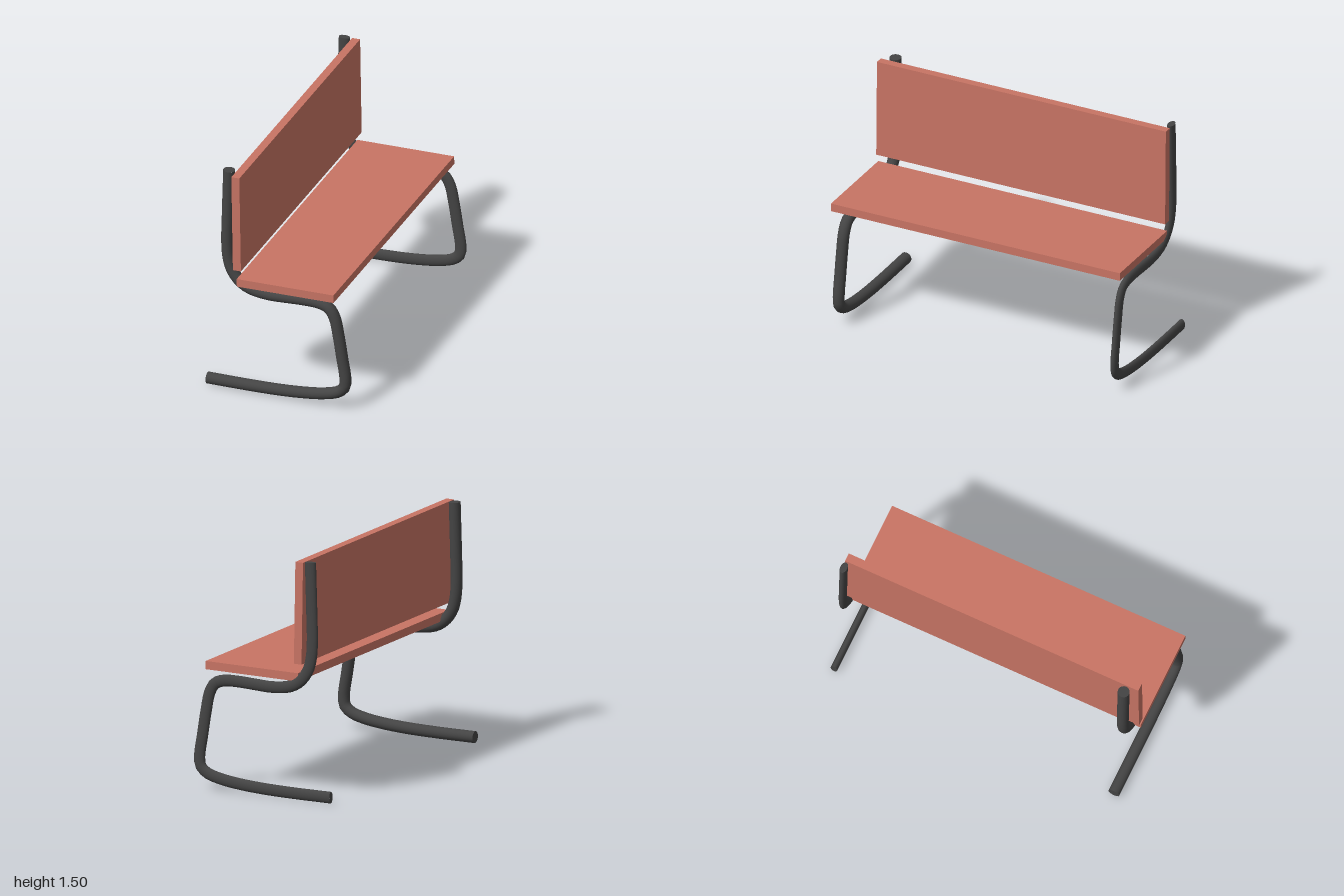
import * as THREE from 'three';

const RADIUS = 0.037;

// Centre line of the bent tube, from the back's top to the foot's end
const PATH = [
  [-0.336, 1.505], [-0.345, 1.2], [-0.349, 1.0], [-0.341, 0.9], [-0.32, 0.825],
  [-0.27, 0.755], [-0.2, 0.712], [-0.08, 0.693], [0.05, 0.697], [0.16, 0.702],
  [0.26, 0.699], [0.325, 0.675], [0.362, 0.615], [0.387, 0.5], [0.411, 0.35],
  [0.433, 0.2], [0.424, 0.143], [0.38, 0.105], [0.28, 0.076], [0.15, 0.058],
  [0, 0.047], [-0.2, 0.041], [-0.478, 0.039],
];

function createFrame(name, material) {
  const curve = new THREE.CatmullRomCurve3(PATH.map(([x, y]) => new THREE.Vector3(x, y, 0)));
  const frame = new THREE.Group();
  frame.name = name;
  const tube = new THREE.Mesh(new THREE.TubeGeometry(curve, 90, RADIUS, 20), material);
  tube.name = 'bentTube';
  frame.add(tube);
  // Flat discs closing both ends
  for (const [t, sign, capName] of [[0, -1, 'topCap'], [1, 1, 'footCap']]) {
    const cap = new THREE.Mesh(new THREE.CircleGeometry(RADIUS, 20), material);
    cap.name = capName;
    cap.position.copy(curve.getPoint(t));
    const outward = curve.getTangent(t).multiplyScalar(sign);
    cap.quaternion.setFromUnitVectors(new THREE.Vector3(0, 0, 1), outward);
    frame.add(cap);
  }
  return frame;
}

export function createModel() {
  const model = new THREE.Group();
  model.name = 'bench';
  const steel = new THREE.MeshStandardMaterial({ color: 0x444444 });
  const wood = new THREE.MeshStandardMaterial({ color: 0xc87464 });

  // Seat and backrest boards, each tilted slightly
  const addBoard = (name, width, height, x, y) => {
    const board = new THREE.Mesh(new THREE.BoxGeometry(width, height, 1.99), wood);
    board.name = name;
    board.position.set(x, y, 0.005);
    board.rotation.z = 0.016;
    model.add(board);
  };
  addBoard('seat', 0.64, 0.052, 0.065, 0.78);
  addBoard('backrest', 0.053, 0.642, -0.259, 1.179);

  // Round tube at the front end, flattened tube at the rear end
  const frontFrame = createFrame('frontFrame', steel);
  frontFrame.position.z = 0.922;
  const rearFrame = createFrame('rearFrame', steel);
  rearFrame.position.z = -0.978;
  rearFrame.scale.z = 0.6;
  model.add(frontFrame, rearFrame);

  return model;
}
